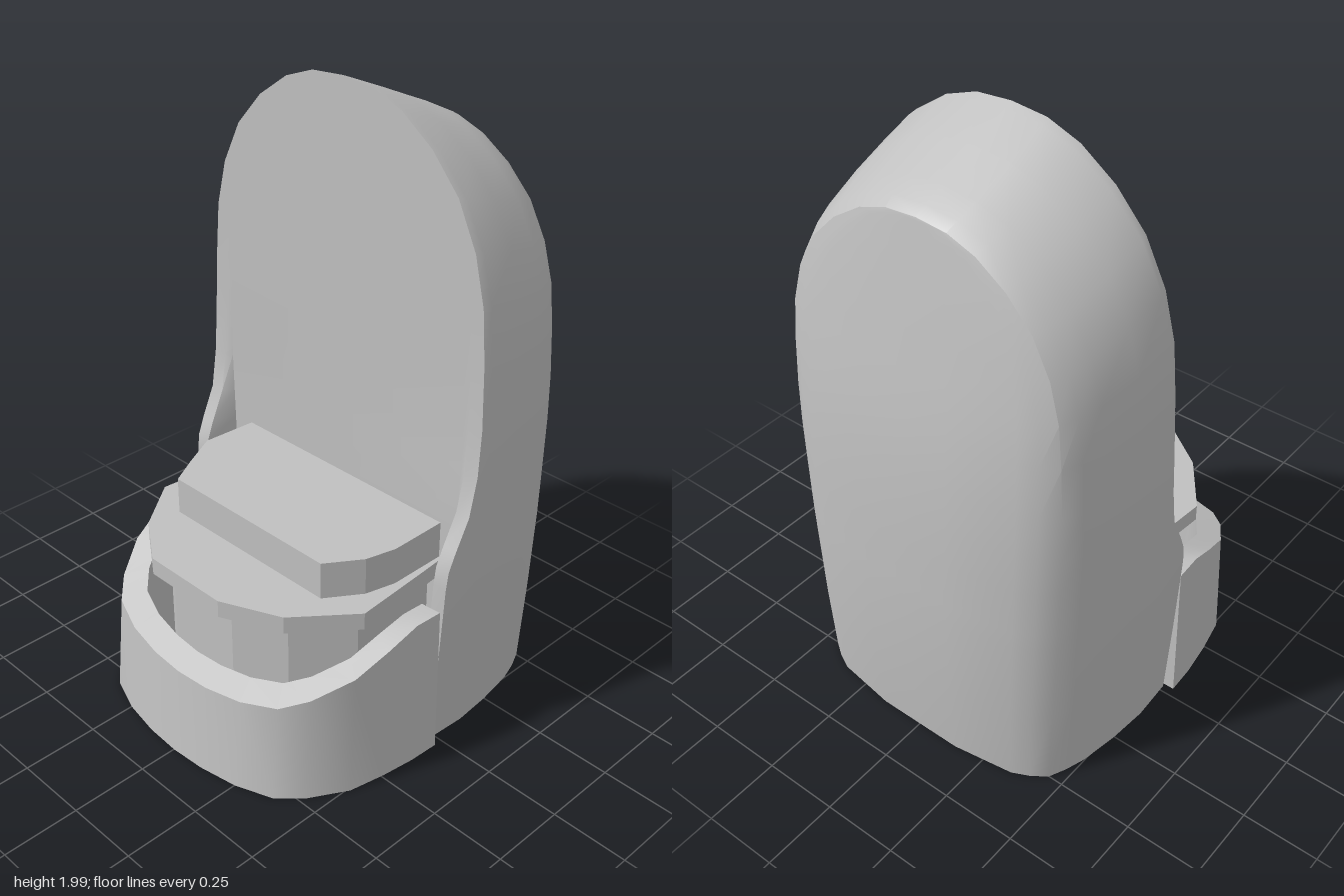
import * as THREE from 'three';
import { toCreasedNormals } from 'three/addons/utils/BufferGeometryUtils.js';

// Skin a list of closed rings of [x, y, z] points
function loft(rings, capEnds = false) {
  const n = rings[0].length;
  const index = [];
  for (let i = 0; i < rings.length - 1; i++) {
    for (let j = 0; j < n; j++) {
      const k = (j + 1) % n;
      const a = i * n + j, b = a + n, c = (i + 1) * n + k, d = i * n + k;
      index.push(a, b, c, a, c, d);
    }
  }
  if (capEnds) {
    const e = (rings.length - 1) * n;
    for (let j = 1; j < n - 1; j++) index.push(0, j, j + 1, e, e + j + 1, e + j);
  }
  const g = new THREE.BufferGeometry();
  g.setAttribute('position', new THREE.Float32BufferAttribute(rings.flat(2), 3));
  g.setIndex(index);
  return toCreasedNormals(g, 0.55);
}

// Piecewise linear lookup in a list of [key, value] pairs
function lerpTable(table, t) {
  for (let i = 1; i < table.length; i++) {
    const [k0, v0] = table[i - 1], [k1, v1] = table[i];
    if (t <= k1) return v0 + (v1 - v0) * Math.max(0, (t - k0) / (k1 - k0));
  }
  return table[table.length - 1][1];
}

// Horizontal slab from an [x, z] outline
function slab(outline, y0, y1, scale = 1) {
  const shape = new THREE.Shape(outline.map(([x, z]) => new THREE.Vector2(x * scale, -z * scale)));
  const g = new THREE.ExtrudeGeometry(shape, { depth: y1 - y0, bevelEnabled: false });
  return g.rotateX(-Math.PI / 2).translate(0, y0, 0);
}

export function createModel() {
  const model = new THREE.Group();
  const grey = new THREE.MeshStandardMaterial({ color: 0xc0c0c0, side: THREE.DoubleSide });
  grey.name = 'plainGrey';
  const add = (name, geometry) => {
    const mesh = new THREE.Mesh(geometry, grey);
    mesh.name = name;
    model.add(mesh);
  };

  // Arch of the hood: [half width, height]
  const arch = [
    [0.53, 0.01], [0.55, 0.3], [0.567, 0.6], [0.569, 0.66], [0.571, 0.72], [0.574, 0.82],
    [0.578, 0.95], [0.577, 1.1], [0.568, 1.3], [0.553, 1.47], [0.515, 1.62], [0.445, 1.76],
    [0.345, 1.87], [0.23, 1.95], [0.12, 1.99], [0, 2],
  ];
  // Curve of the side wings and bulge of the closed back, by height
  const wing = [[0, -0.02], [0.64, -0.02], [0.7, 0], [0.76, 0.035], [0.82, 0.06], [0.95, 0.083], [1.15, 0.095]];
  const bulge = [[0, 0.11], [0.4, 0.14], [0.9, 0.13], [1.2, 0.11], [1.6, 0.042], [1.83, 0]];
  const wingX = (y) => lerpTable(wing, y);
  const backX = (amount) => (y) => 0.48 + amount * lerpTable(bulge, y);

  const archRing = (width, height, xAt) => {
    const side = (s) => arch.map(([w, y]) => {
      const yy = y < 1.1 ? y : 1.1 + (y - 1.1) * (height - 1.1) / 0.9;
      return [xAt(yy), yy, s * w * width];
    });
    return [...side(1), ...side(-1).reverse().slice(1)];
  };

  // Hood: flat recessed opening, wings, sloping roof, bulging back
  const flat = (x) => () => x;
  add('hood', loft([
    archRing(0, 2, flat(0.095)),
    archRing(0.86, 2, flat(0.095)),
    archRing(0.9, 2, wingX),
    archRing(0.985, 2, wingX),
    archRing(1, 1.99, flat(0.12)),
    archRing(0.98, 1.935, flat(0.25)),
    archRing(0.94, 1.878, flat(0.38)),
    archRing(0.9, 1.85, flat(0.445)),
    archRing(0.85, 1.83, backX(0.2)),
    archRing(0.76, 1.83, backX(0.5)),
    archRing(0.66, 1.83, backX(0.73)),
    archRing(0.28, 1.83, backX(1)),
    archRing(0, 1.83, backX(1)),
  ]));

  // Curved wall around the foot, its rim sloping down to the entrance
  const half = [
    [-0.03, 0.555], [-0.13, 0.55], [-0.24, 0.535], [-0.36, 0.51], [-0.48, 0.44],
    [-0.55, 0.37], [-0.595, 0.25], [-0.618, 0.12], [-0.625, 0],
  ];
  const path = [...half, ...half.slice(0, -1).reverse().map(([x, z]) => [x, -z])];
  const rimY = (x) => lerpTable([[-0.59, 0.3], [-0.13, 0.52]], x);
  add('footWall', loft(path.map(([x, z]) => {
    const tx = x < -0.1 ? x * 0.945 : x;
    const ix = x < -0.1 ? x * 0.82 : x;
    const y = rimY(tx);
    return [[x, 0.01, z], [tx, y, z * 0.99], [ix, rimY(ix) - 0.005, z * 0.86], [ix, 0.01, z * 0.86]];
  }), true));

  // Pedestal and overhanging seat plate
  const plate = [
    [0.12, -0.44], [-0.06, -0.44], [-0.25, -0.457], [-0.42, -0.33], [-0.533, -0.17],
    [-0.533, 0.13], [-0.45, 0.32], [-0.27, 0.47], [0, 0.45], [0.12, 0.44],
  ];
  add('pedestal', slab(plate, 0.01, 0.56, 0.88));
  add('seatPlate', slab(plate, 0.545, 0.602));

  // Seat cushion
  add('cushion', slab([
    [0.12, -0.41], [-0.09, -0.425], [-0.21, -0.365], [-0.31, -0.31],
    [-0.31, 0.33], [-0.2, 0.405], [-0.1, 0.43], [0.12, 0.43],
  ], 0.6, 0.725));

  return model;
}
